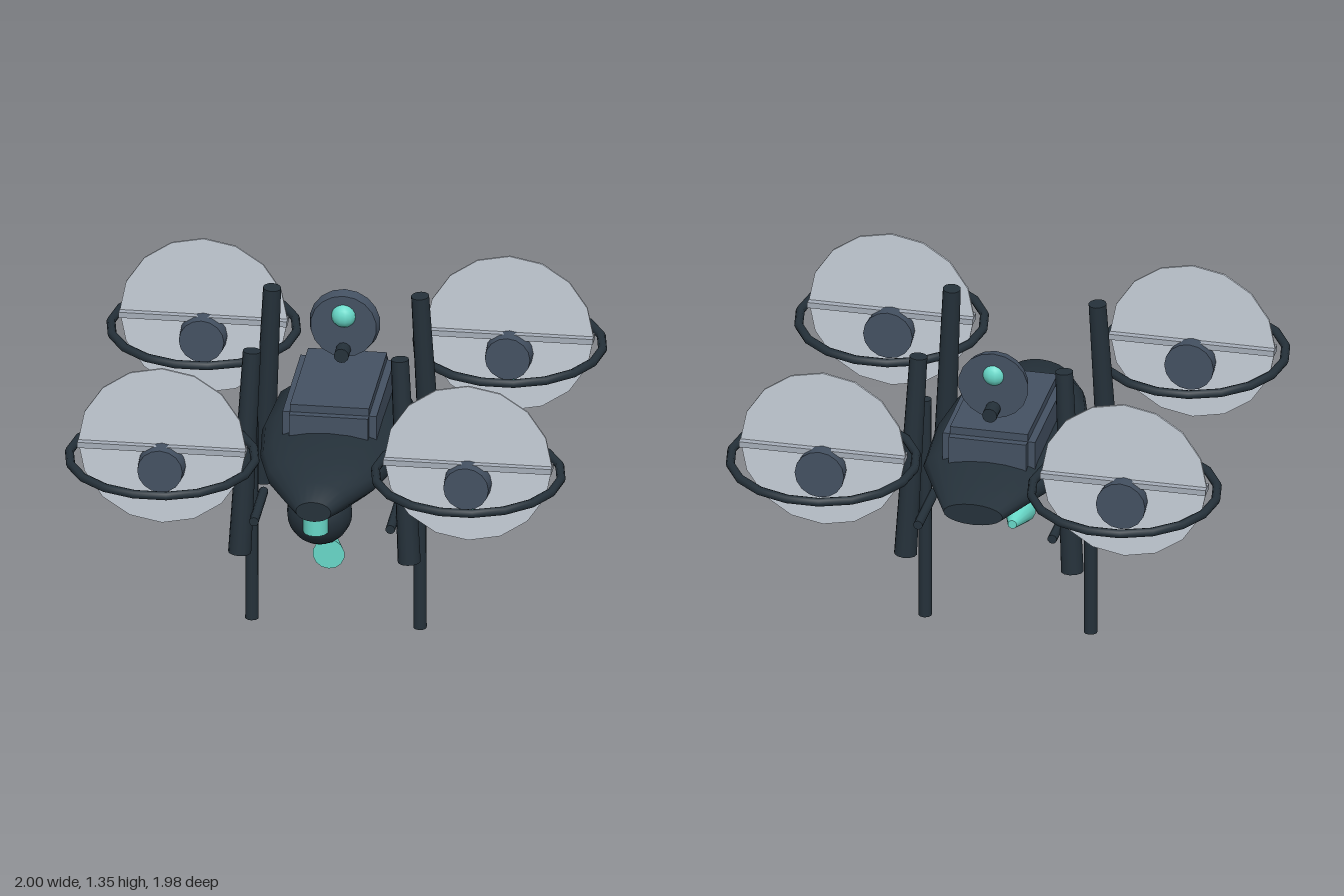
import * as THREE from 'three';

const mat = (name, color) => {
  const m = new THREE.MeshStandardMaterial({ color });
  m.name = name;
  return m;
};

export function createModel() {
  const root = new THREE.Group();
  root.name = 'quadDrone';
  const dark = mat('darkHull', 0x25313a);
  const slate = mat('slate', 0x445162);
  const pale = mat('paleGrey', 0xc6ced8);
  const grey = mat('bladeGrey', 0xa6aeb9);
  const teal = mat('teal', 0x68d8c8);

  const add = (name, geo, material, x = 0, y = 0, z = 0, parent = root) => {
    const m = new THREE.Mesh(geo, material);
    m.name = name;
    m.position.set(x, y, z);
    parent.add(m);
    return m;
  };
  // Rod from a to b, radius ra at a and rb at b
  const rod = (name, a, b, ra, rb, material, sides = 12) => {
    const A = new THREE.Vector3(...a), B = new THREE.Vector3(...b);
    const dir = B.clone().sub(A);
    const m = add(name, new THREE.CylinderGeometry(rb, ra, dir.length(), sides), material);
    m.position.copy(A).add(B).multiplyScalar(0.5);
    m.quaternion.setFromUnitVectors(new THREE.Vector3(0, 1, 0), dir.normalize());
    return m;
  };

  // Hull: elliptical sections [z, half width, centre height, half height]
  const sections = [
    [-0.625, 0.12, 0.80, 0.045], [-0.30, 0.275, 0.82, 0.10], [0, 0.295, 0.82, 0.108],
    [0.25, 0.268, 0.82, 0.106], [0.42, 0.218, 0.815, 0.095], [0.58, 0.125, 0.805, 0.075],
    [0.665, 0.07, 0.79, 0.042],
  ];
  const N = 20, pos = [], idx = [];
  sections.forEach(([z, rx, cy, ry]) => {
    for (let i = 0; i < N; i++) {
      const a = (i / N) * Math.PI * 2;
      pos.push(Math.cos(a) * rx, cy + Math.sin(a) * ry, z);
    }
  });
  for (let s = 0; s < sections.length - 1; s++) {
    for (let i = 0; i < N; i++) {
      const a = s * N + i, b = s * N + (i + 1) % N;
      idx.push(a, b, b + N, a, b + N, a + N);
    }
  }
  // Flat end caps with their own vertices
  [0, sections.length - 1].forEach((s) => {
    const base = pos.length / 3;
    pos.push(...pos.slice(s * N * 3, (s + 1) * N * 3));
    for (let i = 1; i < N - 1; i++) {
      if (s === 0) idx.push(base, base + i + 1, base + i);
      else idx.push(base, base + i, base + i + 1);
    }
  });
  const hull = new THREE.BufferGeometry();
  hull.setAttribute('position', new THREE.Float32BufferAttribute(pos, 3));
  hull.setIndex(idx);
  hull.computeVertexNormals();
  add('hull', hull, dark);

  // Stepped equipment case on top
  add('caseWide', new THREE.BoxGeometry(0.375, 0.13, 0.53), slate, 0, 0.933, -0.075);
  add('caseLong', new THREE.BoxGeometry(0.315, 0.13, 0.59), slate, 0, 0.933, -0.075);
  add('caseTop', new THREE.BoxGeometry(0.315, 0.15, 0.53), slate, 0, 0.955, -0.075);

  for (const sx of [-1, 1]) {
    for (const sz of [-1, 1]) {
      // Rotor unit: guard ring, motor, disc, blade and light
      const rotor = new THREE.Group();
      rotor.name = 'rotor';
      rotor.position.set(sx * 0.61, 0, sz * 0.61);
      root.add(rotor);
      add('guardRing', new THREE.TorusGeometry(0.37, 0.018, 8, 18), dark, 0, 0.97, 0, rotor).rotation.x = Math.PI / 2;
      add('motor', new THREE.CylinderGeometry(0.09, 0.1, 0.14, 16), slate, 0, 0.935, 0, rotor).rotation.x = Math.PI / 2;
      add('rotorDisc', new THREE.CylinderGeometry(0.335, 0.335, 0.009, 16), pale, 0, 1.018, 0, rotor).rotation.x = Math.PI / 2;
      add('blade', new THREE.BoxGeometry(0.67, 0.024, 0.062), grey, 0, 1.012, 0, rotor);
      add('navigationLight', new THREE.SphereGeometry(0.035, 12, 8), sx < 0 && sz > 0 ? pale : teal, 0, 0.84, 0, rotor);

      // Leaning corner post and short side rail
      rod('cornerPost', [sx * 0.338, 0.445, sz * 0.34], [sx * 0.295, 1.305, sz * 0.297], 0.046, 0.036, dark);
      rod('sideRail', [sx * 0.272, 0.612, sz * 0.12], [sx * 0.272, 0.612, sz * 0.41], 0.019, 0.019, dark, 10);
    }
    rod('landingLeg', [sx * 0.335, 0, 0], [sx * 0.335, 0.96, 0], 0.027, 0.025, dark, 10);
  }

  // Nose camera
  add('cameraBall', new THREE.SphereGeometry(0.13, 18, 14), dark, 0, 0.707, 0.48);
  add('cameraLens', new THREE.CylinderGeometry(0.05, 0.05, 0.09, 14), teal, 0, 0.718, 0.592);

  // Belly turret, barrel and nozzle
  add('turret', new THREE.CylinderGeometry(0.066, 0.066, 0.17, 14), slate, 0, 0.645, 0.05);
  rod('barrel', [0, 0.545, -0.03], [0, 0.492, 0.245], 0.036, 0.036, dark);
  rod('nozzle', [0, 0.4, 0.075], [0, 0.4, 0.217], 0.018, 0.064, teal, 14);

  // Sensor dish on top
  rod('sensorDish', [0, 1.19, -0.263], [0, 1.19, -0.217], 0.142, 0.132, slate, 18);
  add('sensorEye', new THREE.SphereGeometry(0.052, 14, 10), teal, 0, 1.235, -0.235);
  rod('sensorStalk', [0, 1.09, -0.33], [0, 1.09, -0.155], 0.03, 0.03, dark);

  return root;
}
